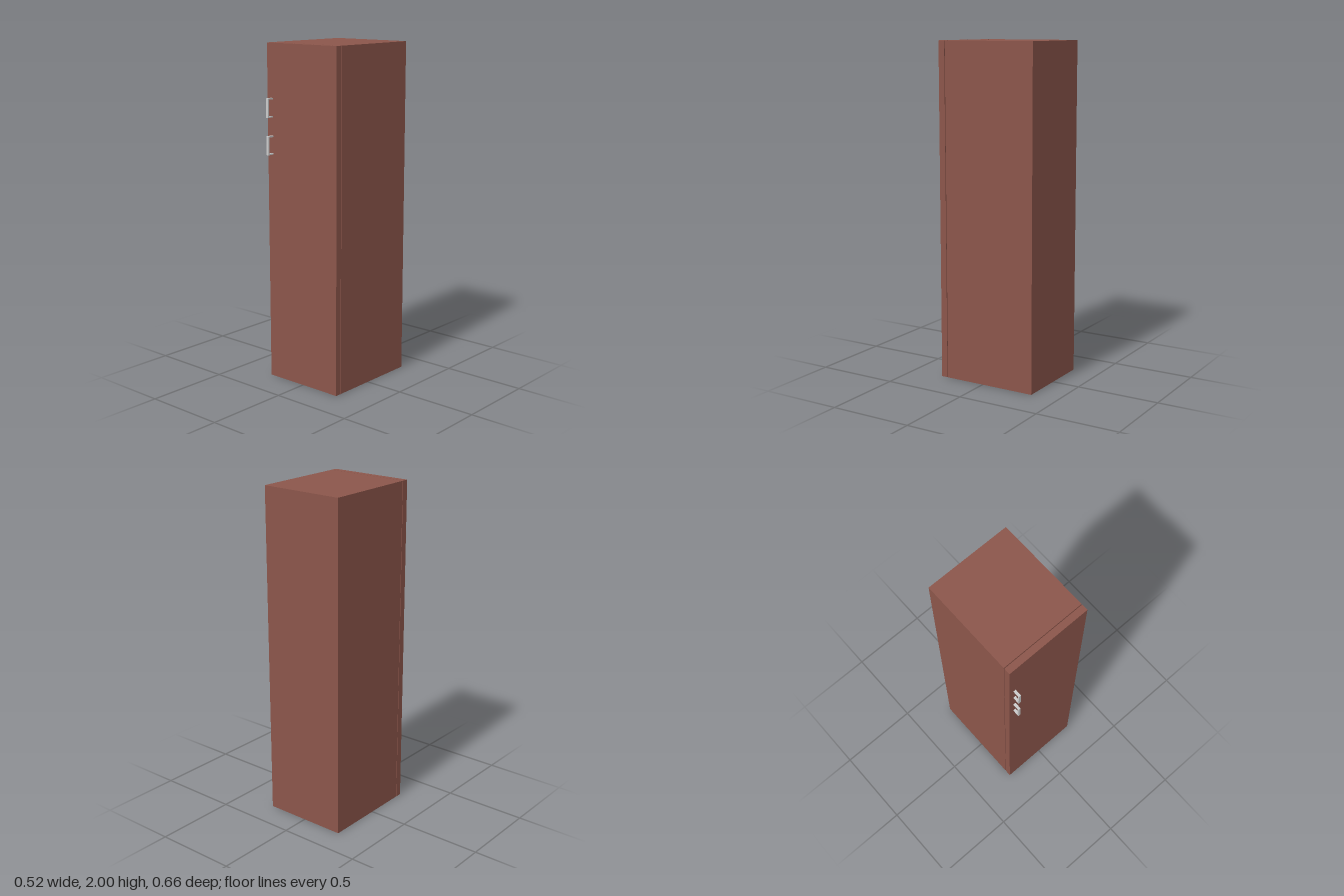
import * as THREE from 'three';

const WIDTH = 0.52;
const SPLIT = 1.53; // height where the lower compartment meets the upper one

const brown = new THREE.MeshStandardMaterial({ color: 0x8c564b });
const grey = new THREE.MeshStandardMaterial({ color: 0xcccccc });

// Box given by its minimum and maximum corners
function box(name, material, [x0, y0, z0], [x1, y1, z1]) {
  const mesh = new THREE.Mesh(new THREE.BoxGeometry(x1 - x0, y1 - y0, z1 - z0), material);
  mesh.position.set((x0 + x1) / 2, (y0 + y1) / 2, (z0 + z1) / 2);
  mesh.name = name;
  return mesh;
}

// Square-section pull handle: two posts and a grip bar
function handle(name, y0, y1) {
  const group = new THREE.Group();
  group.name = name;
  const x0 = -0.233, x1 = -0.218, t = 0.008, door = 0.289, front = 0.331;
  group.add(
    box('lowerPost', grey, [x0, y0, door], [x1, y0 + t, front - t]),
    box('upperPost', grey, [x0, y1 - t, door], [x1, y1, front - t]),
    box('gripBar', grey, [x0, y0, front - t], [x1, y1, front])
  );
  return group;
}

export function createModel() {
  const model = new THREE.Group();
  model.name = 'refrigerator';
  const w = WIDTH / 2;

  // Each compartment has a body and a door with a narrow gap between them
  for (const [part, y0, y1] of [['lower', 0, SPLIT], ['upper', SPLIT, 2]]) {
    model.add(
      box(part + 'Body', brown, [-w, y0, -0.331], [w, y1, 0.246]),
      box(part + 'Door', brown, [-w, y0, 0.25], [w, y1, 0.289])
    );
  }

  // Handles sit close to the split, on the opening side
  model.add(handle('lowerHandle', 1.36, 1.47), handle('upperHandle', 1.576, 1.688));
  return model;
}
